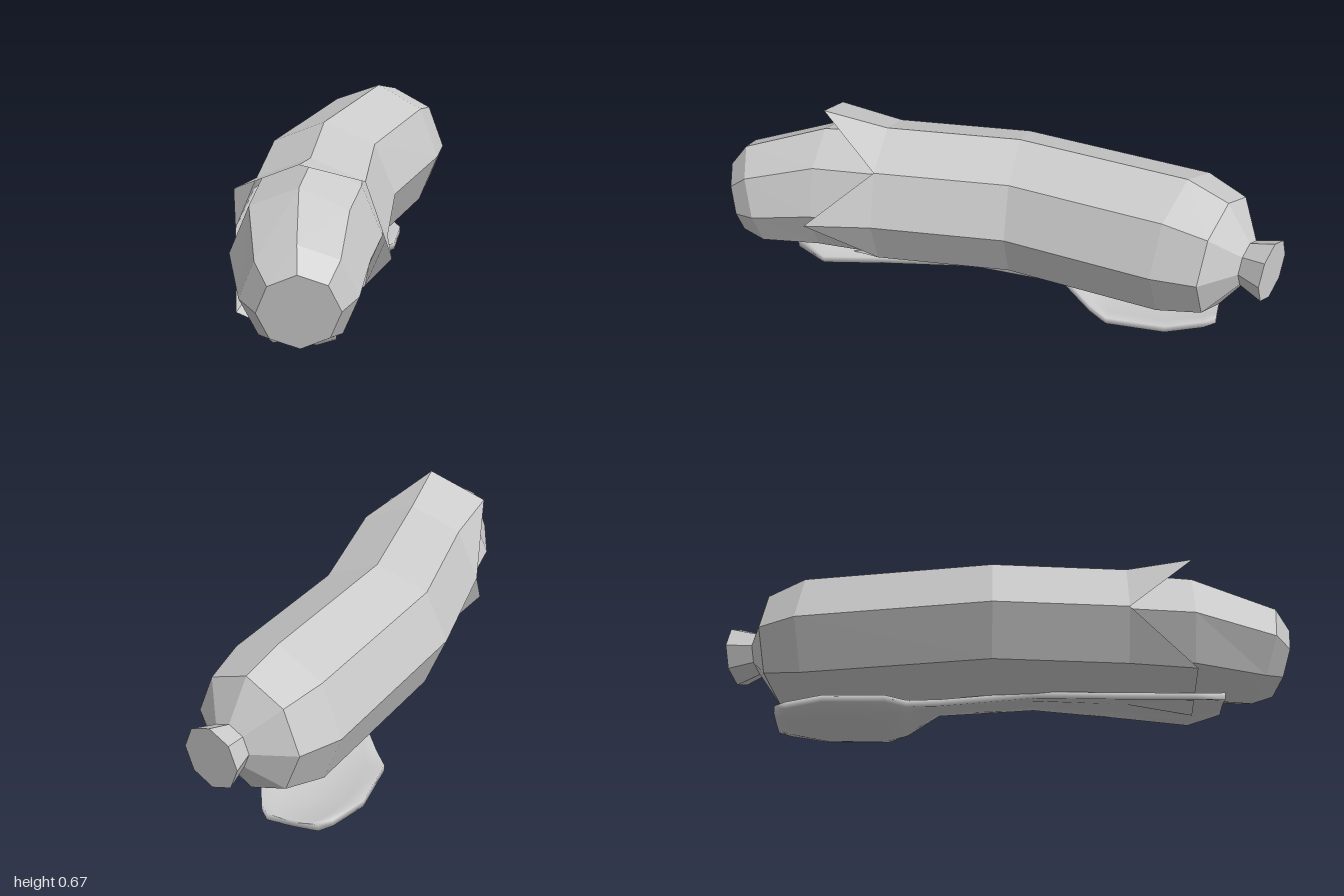
import * as THREE from 'three';

const SIDES = 8;

// Eight-sided ring; yaw turns it about y, lean tips its top forward.
function ring(x, y, z, r, yaw = 0, lean = 0) {
  return Array.from({ length: SIDES }, (_, k) => {
    const a = (k / SIDES) * Math.PI * 2;
    const u = Math.cos(a) * r, v = Math.sin(a) * r;
    return [x + u * Math.cos(yaw), y + v * Math.cos(lean), z + u * Math.sin(yaw) + v * Math.sin(lean)];
  });
}

// Joins rings listed from back to front, with optional end caps.
function loft(rings, capBack, capFront) {
  const n = rings[0].length, pos = rings.flat(2), idx = [];
  for (let i = 0; i < rings.length - 1; i++) {
    for (let k = 0; k < n; k++) {
      const a = i * n + k, b = i * n + (k + 1) % n;
      idx.push(a, b, b + n, a, b + n, a + n);
    }
  }
  const cap = (r, start, front) => {
    const c = pos.length / 3;
    for (let j = 0; j < 3; j++) pos.push(r.reduce((s, p) => s + p[j], 0) / n);
    for (let k = 0; k < n; k++) {
      const a = start + k, b = start + (k + 1) % n;
      idx.push(c, front ? a : b, front ? b : a);
    }
  };
  if (capBack) cap(rings[0], 0, false);
  if (capFront) cap(rings.at(-1), (rings.length - 1) * n, true);
  const g = new THREE.BufferGeometry();
  g.setAttribute('position', new THREE.Float32BufferAttribute(pos, 3));
  g.setIndex(idx);
  g.computeVertexNormals();
  return g;
}

function part(name, geometry, flat, side = THREE.FrontSide) {
  const mesh = new THREE.Mesh(geometry,
    new THREE.MeshStandardMaterial({ color: 0xcccccc, flatShading: flat, side }));
  mesh.name = name;
  return mesh;
}

export function createModel() {
  const group = new THREE.Group();
  group.name = 'peeledFruitOnSpoon';

  // Bent skin with a short flared stem at the back
  const cy = 0.377;
  const skinRings = [
    ring(0.165, cy, -0.965, 0.11, 0.33),
    ring(0.137, cy, -0.882, 0.08, 0.33),
    ring(0.11, cy, -0.797, 0.212, 0.33),
    ring(0.062, cy, -0.652, 0.255, 0.33),
    ring(-0.058, cy, -0.05, 0.255),
    ring(-0.03, cy, 0.42, 0.255),
  ];
  group.add(part('skin', loft(skinRings, true, false), true, THREE.DoubleSide));

  // Peeled flaps: some corners flare forward, the notches stay on the rim
  const rim = skinRings.at(-1), tips = ring(-0.03, cy, 0.65, 0.295);
  const isTip = [1, 0, 1, 1, 0, 1, 1, 0];
  const flapPos = [];
  for (let k = 0; k < SIDES; k++) {
    const m = (k + 1) % SIDES;
    if (isTip[m]) flapPos.push(...rim[k], ...rim[m], ...tips[m]);
    if (isTip[k]) flapPos.push(...rim[k], ...(isTip[m] ? tips[m] : rim[m]), ...tips[k]);
  }
  const flaps = new THREE.BufferGeometry();
  flaps.setAttribute('position', new THREE.Float32BufferAttribute(flapPos, 3));
  flaps.computeVertexNormals();
  group.add(part('peelFlaps', flaps, true, THREE.DoubleSide));

  // Exposed flesh, tapering to a blunt tilted end
  group.add(part('flesh', loft([
    ring(-0.04, cy, 0.3, 0.235),
    ring(-0.03, 0.376, 0.42, 0.238),
    ring(-0.03, 0.37, 0.65, 0.228),
    ring(0.012, 0.327, 0.905, 0.184, -0.19, 0.19),
    ring(0.022, 0.305, 0.972, 0.13, -0.19, 0.19),
  ], true, true), true));

  // Spoon stations: z, half width, edge height, centre height (top surface)
  const stations = [
    [-0.79, 0.09, 0.066, 0.062],
    [-0.75, 0.125, 0.066, 0.05],
    [-0.62, 0.184, 0.068, 0.03],
    [-0.41, 0.184, 0.07, 0.034],
    [-0.34, 0.13, 0.075, 0.06],
    [-0.23, 0.045, 0.115, 0.122],
    [0.1, 0.055, 0.144, 0.15],
    [0.4, 0.085, 0.13, 0.148],
    [0.65, 0.117, 0.118, 0.146],
    [0.76, 0.07, 0.14, 0.15],
  ];
  const across = [1, 0.65, 0, -0.65, -1];
  const spoonRings = stations.map(([z, w, edge, mid]) => {
    const y = (t) => mid + (edge - mid) * Math.abs(t) ** 2;
    const top = across.map((t) => [-0.028 + t * w, y(t), z]);
    const bottom = across.map((t) => [-0.028 - t * w, y(t) - 0.025, z]);
    return [...top, ...bottom];
  });
  group.add(part('spoon', loft(spoonRings, true, true), false, THREE.DoubleSide));

  // Rest the lowest point on the ground
  group.position.y = -new THREE.Box3().setFromObject(group).min.y;
  return group;
}
